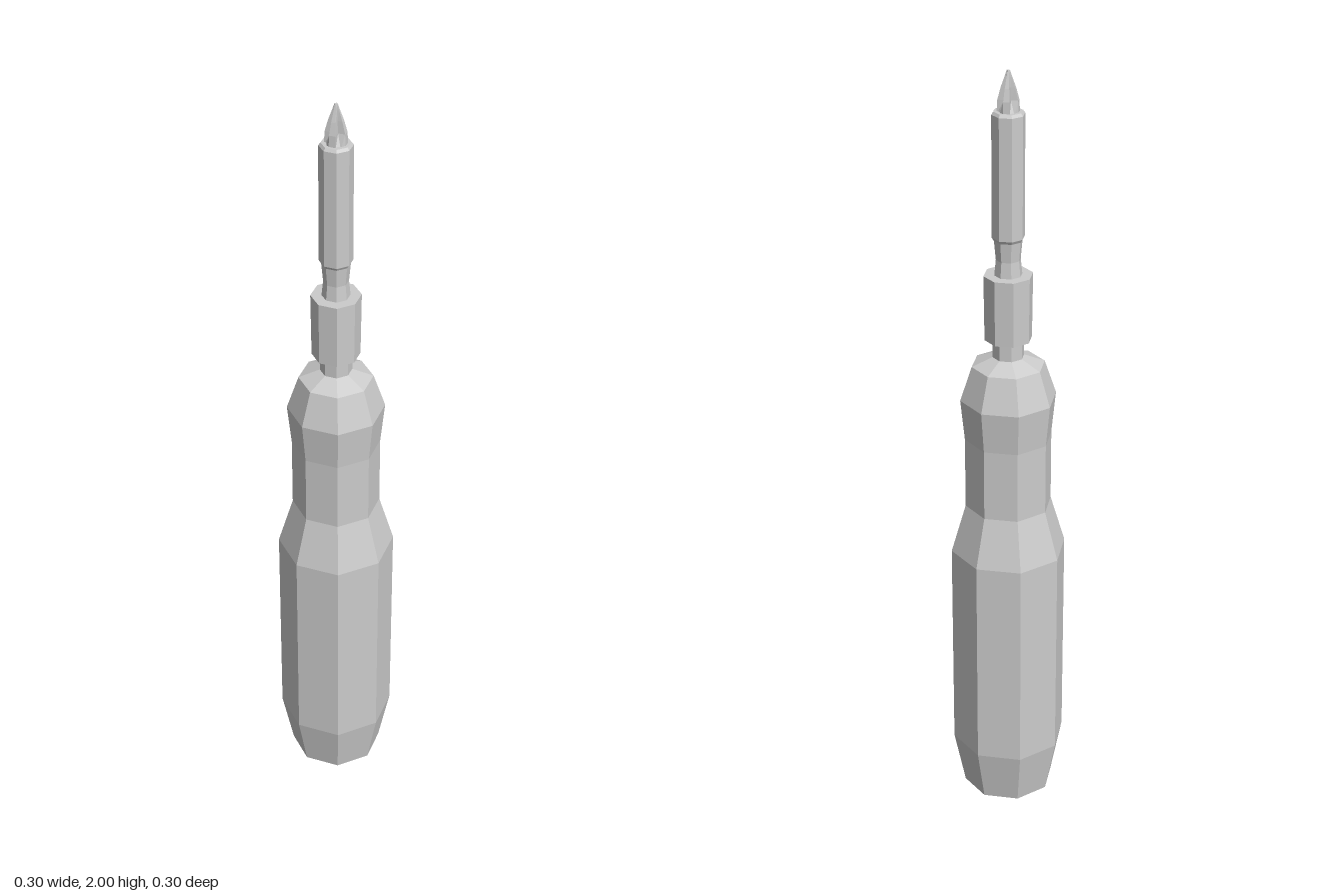
import * as THREE from 'three';

const material = new THREE.MeshStandardMaterial({ color: 0xcccccc, flatShading: true });

// Eight-sided turned part from [radius, height] pairs, bottom to top
function turned(name, profile) {
  const points = profile.map(([r, y]) => new THREE.Vector2(r, y));
  const mesh = new THREE.Mesh(new THREE.LatheGeometry(points, 8), material);
  mesh.name = name;
  return mesh;
}

// Cross-shaped point lofted from rings of [height, fin radius, valley radius]
function crossTip() {
  const rings = [[1.895, 0.028, 0.026], [1.93, 0.026, 0.011], [1.96, 0.018, 0.008], [1.985, 0.009, 0.005], [2, 0.004, 0.003]];
  const n = 12, positions = [], index = [];
  for (const [y, fin, valley] of rings) {
    for (let k = 0; k < 4; k++) {
      const middle = k * Math.PI / 2 + Math.PI / 8;
      const half = 0.3;
      for (const [offset, r] of [[-half, fin], [half, fin], [Math.PI / 4, valley]]) {
        positions.push(r * Math.sin(middle + offset), y, r * Math.cos(middle + offset));
      }
    }
  }
  for (let i = 0; i < rings.length - 1; i++) {
    for (let j = 0; j < n; j++) {
      const a = i * n + j, b = i * n + (j + 1) % n;
      index.push(a, b, b + n, a, b + n, a + n);
    }
  }
  // Cap the small end
  const top = (rings.length - 1) * n;
  positions.push(0, 2, 0);
  for (let j = 0; j < n; j++) index.push(top + j, top + (j + 1) % n, top + n);

  const geometry = new THREE.BufferGeometry();
  geometry.setAttribute('position', new THREE.Float32BufferAttribute(positions, 3));
  geometry.setIndex(index);
  geometry.computeVertexNormals();
  const mesh = new THREE.Mesh(geometry, material);
  mesh.name = 'crossTip';
  return mesh;
}

export function createModel() {
  const group = new THREE.Group();
  group.name = 'screwdriver';
  group.add(
    // Grip with tapered base, waist and shoulder
    turned('handle', [[0, 0], [0.12, 0], [0.15, 0.15], [0.15, 0.73], [0.112, 0.86], [0.112, 1.05],
      [0.123, 1.16], [0.093, 1.25], [0.04, 1.272], [0, 1.272]]),
    turned('shaft', [[0.04, 1.26], [0.04, 1.33]]),
    // Bit holder
    turned('collar', [[0, 1.32], [0.06, 1.32], [0.062, 1.49], [0, 1.49]]),
    // Interchangeable bit
    turned('bitNeck', [[0.036, 1.48], [0.031, 1.53], [0.036, 1.585]]),
    turned('bitBody', [[0, 1.58], [0.036, 1.58], [0.041, 1.588], [0.041, 1.895], [0.036, 1.902], [0, 1.902]]),
    crossTip()
  );
  return group;
}
